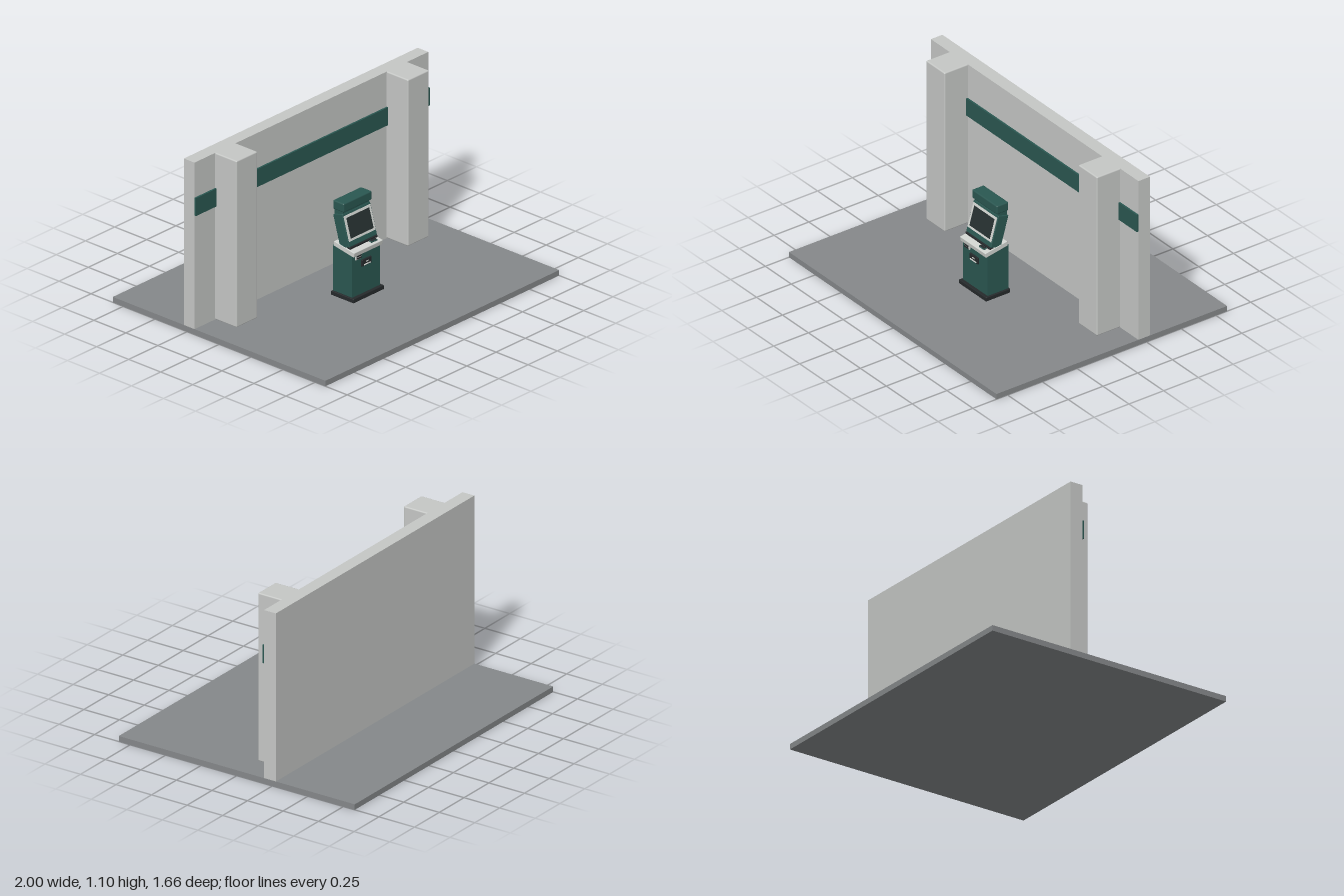
import * as THREE from 'three';
import { RoundedBoxGeometry } from 'three/addons/geometries/RoundedBoxGeometry.js';

const paint = (name, color) => {
  const m = new THREE.MeshStandardMaterial({ color });
  m.name = name;
  return m;
};

export function createModel() {
  const floorGrey = paint('floor grey', 0x85888a);
  const wallGrey = paint('wall grey', 0xc5c7c5);
  const green = paint('dark green', 0x2a5751);
  const black = paint('charcoal', 0x25292b);
  const light = paint('panel light grey', 0xd0d3cf);
  const glass = paint('screen glass', 0x263030);
  const model = new THREE.Group();

  const add = (parent, name, geo, mat, x = 0, y = 0, z = 0) => {
    const m = new THREE.Mesh(geo, mat);
    m.name = name;
    m.position.set(x, y, z);
    parent.add(m);
    return m;
  };
  // Box given by its limits on each axis, optionally with rounded edges
  const box = (parent, name, mat, [x0, x1], [y0, y1], [z0, z1], r = 0) => {
    const s = [x1 - x0, y1 - y0, z1 - z0];
    const geo = r ? new RoundedBoxGeometry(...s, 2, r) : new THREE.BoxGeometry(...s);
    return add(parent, name, geo, mat, (x0 + x1) / 2, (y0 + y1) / 2, (z0 + z1) / 2);
  };
  const group = (parent, name, y = 0, z = 0, tilt = 0) => {
    const g = new THREE.Group();
    g.name = name;
    g.position.set(0, y, z);
    g.rotation.x = tilt;
    parent.add(g);
    return g;
  };

  // Room: floor, back wall, stripe and two pillars
  box(model, 'floor', floorGrey, [-1, 1], [0, 0.035], [-0.83, 0.83]);
  box(model, 'wall', wallGrey, [-1, 1], [0.035, 1.1], [-0.275, -0.192]);
  box(model, 'wallStripe', green, [-1, 1], [0.762, 0.876], [-0.192, -0.18]);
  for (const s of [-1, 1]) {
    const x = s * 0.734;
    box(model, 'pillar', wallGrey, [x - 0.09, x + 0.09], [0.035, 1.1], [-0.23, -0.025], 0.008);
  }

  // Kiosk plinth and cabinet with a sloping top
  const kiosk = group(model, 'kiosk');
  box(kiosk, 'plinth', black, [-0.131, 0.131], [0.035, 0.062], [0.08, 0.256], 0.004);
  const side = new THREE.Shape([[0.085, 0.062], [0.236, 0.062], [0.236, 0.325], [0.085, 0.355]]
    .map(([z, y]) => new THREE.Vector2(-z, y)));
  const cabinet = new THREE.ExtrudeGeometry(side, { depth: 0.24, bevelEnabled: false });
  cabinet.translate(0, 0, -0.12).rotateY(Math.PI / 2);
  add(kiosk, 'cabinet', cabinet, green);

  // Sloping console with keyboard strip and reader pad
  const desk = group(kiosk, 'console', 0.352, 0.173, 0.18);
  box(desk, 'consoleTop', light, [-0.123, 0.123], [-0.016, 0.016], [-0.081, 0.081], 0.004);
  box(desk, 'keyboard', black, [-0.118, 0.118], [0.016, 0.03], [0.015, 0.042], 0.003);
  box(desk, 'readerPad', green, [0.04, 0.092], [0.016, 0.024], [0.042, 0.066], 0.003);
  box(desk, 'readerFace', black, [0.044, 0.088], [0.024, 0.026], [0.046, 0.062]);

  // Tilted display housing
  const head = group(kiosk, 'display', 0.375, 0.213, -0.28);
  box(head, 'displayHousing', green, [-0.12, 0.12], [0, 0.203], [-0.075, 0], 0.004);
  box(head, 'bezel', light, [-0.113, 0.113], [0.033, 0.188], [-0.002, 0.004]);
  box(head, 'screen', glass, [-0.097, 0.097], [0.048, 0.173], [0.003, 0.006]);

  // Header box above the display
  box(kiosk, 'headerNeck', green, [-0.112, 0.112], [0.555, 0.59], [0.092, 0.155]);
  box(kiosk, 'header', green, [-0.121, 0.121], [0.583, 0.64], [0.085, 0.17], 0.008);

  // Card reader
  box(kiosk, 'cardReader', light, [-0.096, -0.046], [0.293, 0.328], [0.234, 0.244], 0.003);
  for (const y of [0.303, 0.317]) {
    box(kiosk, 'cardSlot', black, [-0.09, -0.052], [y - 0.004, y + 0.004], [0.243, 0.248]);
  }

  // Dispenser tray
  box(kiosk, 'dispenser', black, [-0.044, 0.037], [0.236, 0.278], [0.234, 0.246], 0.003);
  box(kiosk, 'dispenserLip', light, [-0.032, 0.025], [0.243, 0.248], [0.245, 0.252]);
  box(kiosk, 'dispenserMark', light, [-0.014, 0.007], [0.258, 0.265], [0.245, 0.248]);

  return model;
}
